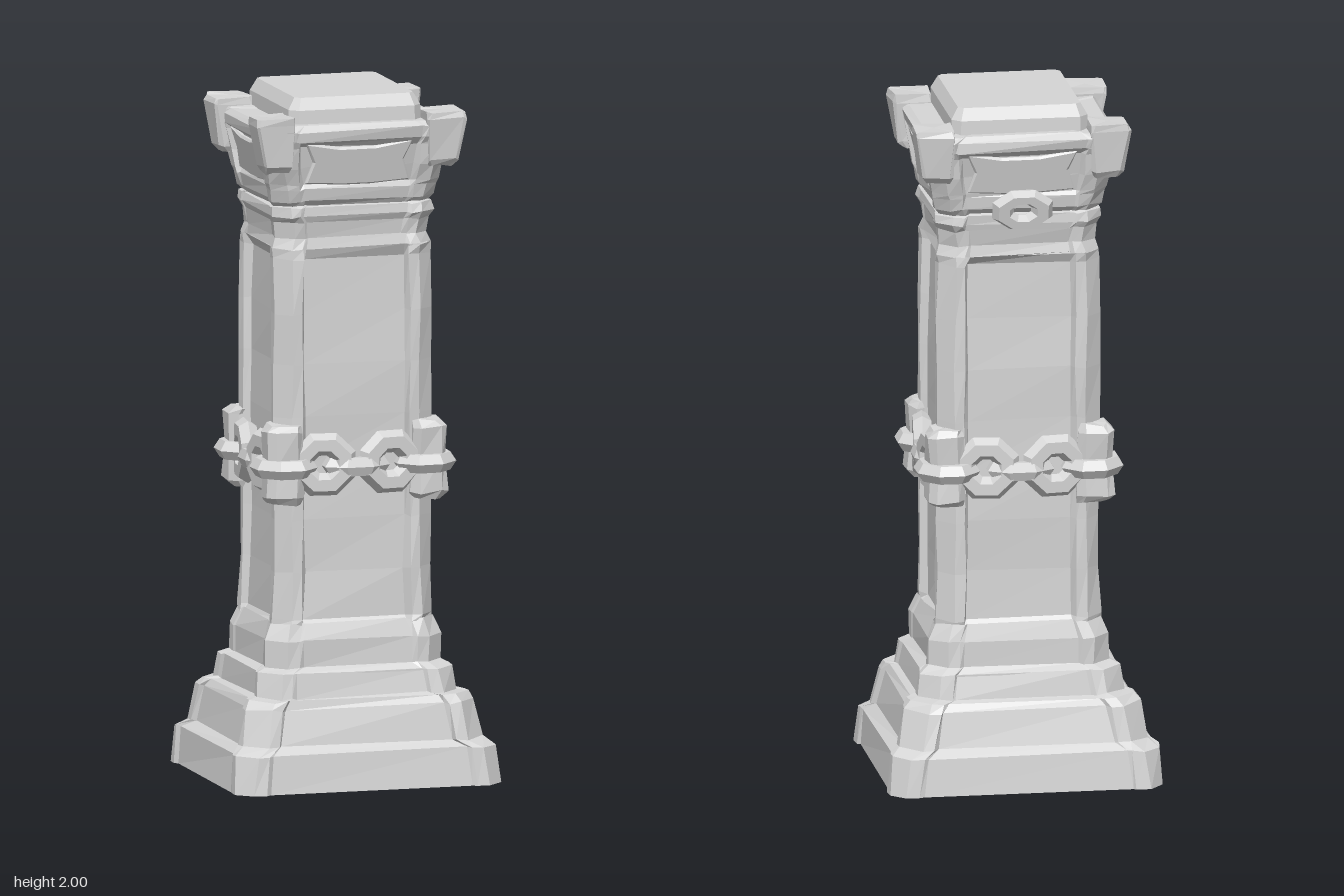
import * as THREE from 'three';

// Small seeded random for the worn, hand-hewn edges
let seed = 7;
const rnd = () => {
  seed = (seed * 16807) % 2147483647;
  return seed / 2147483647 - 0.5;
};

const corners = [[1, 1], [-1, 1], [-1, -1], [1, -1]];

// Plan outline: chamfered corner posts with sides set back between them
function outline([y, hx, hz, chamfer, post, inset]) {
  const ring = [];
  corners.forEach(([sx, sz], k) => {
    const s = 0.012;
    const pts = [
      [hx - inset, hz - post - s], [hx, hz - post], [hx, hz - chamfer],
      [hx - chamfer, hz], [hx - post, hz], [hx - post - s, hz - inset],
    ];
    if (k % 2) pts.reverse();
    pts.forEach(([x, z]) => ring.push([x * sx, y, z * sz]));
  });
  return ring;
}

// Skin rings of points from bottom to top, flat shaded
function loft(rings, { wear = 0, top = false, bottom = false } = {}) {
  const n = rings[0].length, pos = [], idx = [];
  rings.forEach((ring) => ring.forEach(([x, y, z]) => {
    pos.push(x + rnd() * wear, y > 0 ? y + rnd() * wear : 0, z + rnd() * wear);
  }));
  for (let i = 0; i < rings.length - 1; i++) {
    for (let j = 0; j < n; j++) {
      const a = i * n + j, b = i * n + (j + 1) % n;
      idx.push(a, a + n, b, b, a + n, b + n);
    }
  }
  const cap = (row, up) => {
    const c = pos.length / 3, mid = [0, 0, 0];
    rings[row].forEach((p) => p.forEach((v, k) => { mid[k] += v / n; }));
    pos.push(...mid);
    for (let j = 0; j < n; j++) {
      const a = row * n + j, b = row * n + (j + 1) % n;
      idx.push(c, up ? b : a, up ? a : b);
    }
  };
  if (top) cap(rings.length - 1, true);
  if (bottom) cap(0, false);
  const geo = new THREE.BufferGeometry();
  geo.setAttribute('position', new THREE.Float32BufferAttribute(pos, 3));
  geo.setIndex(idx);
  return faceted(geo);
}

function faceted(geo) {
  const flat = geo.toNonIndexed();
  flat.computeVertexNormals();
  return flat;
}

// Chamfered block around a centre: rows of [y, cx, cz, halfX, halfZ, chamfer]
function block(rows, options) {
  return loft(rows.map(([y, cx, cz, hx, hz, c]) => [
    [hx, hz - c], [hx - c, hz], [c - hx, hz], [-hx, hz - c],
    [-hx, c - hz], [c - hx, -hz], [hx - c, -hz], [hx, c - hz],
  ].map(([x, z]) => [cx + x, y, cz + z])), options);
}

export function createModel() {
  const model = new THREE.Group();
  const stone = new THREE.MeshStandardMaterial({ color: 0xd6d6d6, side: THREE.DoubleSide });
  stone.name = 'grey stone';

  const add = (name, geo, parent = model) => {
    const mesh = new THREE.Mesh(geo, stone);
    mesh.name = name;
    parent.add(mesh);
    return mesh;
  };
  const group = (name) => {
    const g = new THREE.Group();
    g.name = name;
    model.add(g);
    return g;
  };

  // Stepped, hollow base
  add('base', loft([
    [0, 0.4, 0.366, 0.045, 0.085, 0.008],
    [0.11, 0.39, 0.356, 0.05, 0.085, 0.01],
    [0.13, 0.362, 0.33, 0.06, 0.095, 0.012],
    [0.235, 0.342, 0.308, 0.06, 0.095, 0.012],
    [0.258, 0.328, 0.295, 0.06, 0.095, 0.01],
    [0.262, 0.3, 0.268, 0.055, 0.09, 0.008],
    [0.33, 0.29, 0.258, 0.055, 0.09, 0.008],
    [0.345, 0.262, 0.23, 0.05, 0.085, 0.006],
    [0.42, 0.262, 0.23, 0.05, 0.085, 0.006],
    [0.47, 0.242, 0.214, 0.045, 0.08, 0.006],
  ].map(outline), { wear: 0.008 }));
  add('baseCeiling', block([
    [0.325, 0, 0, 0.28, 0.25, 0.06],
    [0.33, 0, 0, 0.28, 0.25, 0.06],
  ], { top: true, bottom: true }));

  // Shaft: corner posts with a sunken panel on every side
  const shaftRows = [[0.46, 0.24, 0.213, 0.045, 0.075, 0.006], [0.48, 0.24, 0.213, 0.045, 0.075, 0.022]];
  for (let y = 0.62; y < 1.5; y += 0.15) shaftRows.push([y, 0.236, 0.21, 0.045, 0.075, 0.022]);
  shaftRows.push(
    [1.53, 0.234, 0.208, 0.045, 0.075, 0.022],
    [1.56, 0.235, 0.209, 0.045, 0.075, 0.006],
  );
  add('shaft', loft(shaftRows.map(outline), { wear: 0.008 }));

  // Neck moulding
  add('neck', loft([
    [1.56, 0.235, 0.209, 0.045, 0.075, 0.006],
    [1.59, 0.226, 0.202, 0.045, 0.075, 0.004],
    [1.635, 0.232, 0.207, 0.045, 0.075, 0.004],
    [1.655, 0.243, 0.217, 0.045, 0.075, 0.005],
    [1.68, 0.24, 0.214, 0.045, 0.075, 0.006],
    [1.685, 0.222, 0.198, 0.04, 0.07, 0.006],
  ].map(outline), { wear: 0.007 }));

  // Flared capital with shallow sunken faces
  add('capital', loft([
    [1.68, 0.228, 0.2, 0.04, 0.07, 0.004],
    [1.70, 0.242, 0.214, 0.04, 0.075, 0.004],
    [1.735, 0.25, 0.222, 0.04, 0.08, 0.006],
    [1.75, 0.253, 0.226, 0.04, 0.08, 0.014],
    [1.80, 0.265, 0.24, 0.04, 0.085, 0.018],
    [1.86, 0.275, 0.252, 0.04, 0.09, 0.016],
    [1.88, 0.285, 0.262, 0.04, 0.09, 0.004],
    [1.91, 0.29, 0.266, 0.04, 0.09, 0.004],
    [1.925, 0.27, 0.245, 0.04, 0.09, 0.004],
  ].map(outline), { wear: 0.007, top: true }));

  // Carved plaques filling the sunken faces
  const plaques = group('capitalPlaques');
  const shape = new THREE.Shape([
    [-0.155, 0.06], [-0.06, 0.042], [0.05, 0.042], [0.155, 0.06], [0.13, 0.005],
    [0.15, -0.055], [0.04, -0.062], [-0.04, -0.062], [-0.15, -0.055], [-0.13, 0.005],
  ].map(([x, y]) => new THREE.Vector2(x, y)));
  const plaqueGeo = new THREE.ExtrudeGeometry(shape, {
    depth: 0.006, bevelEnabled: true, bevelThickness: 0.006, bevelSize: 0.006, bevelSegments: 1,
  });
  for (let k = 0; k < 4; k++) {
    const turn = new THREE.Group();
    turn.rotation.y = k * Math.PI / 2;
    plaques.add(turn);
    const plaque = add('plaque', plaqueGeo, turn);
    plaque.scale.x = k % 2 ? 0.85 : 1;
    plaque.position.set(0, 1.812, k % 2 ? 0.248 : 0.223);
    plaque.rotation.x = 0.22;
  }

  // Crowning slab
  add('topSlab', block([
    [1.9, 0, 0, 0.2, 0.218, 0.025],
    [1.965, 0, 0, 0.198, 0.215, 0.025],
    [2.0, 0, 0, 0.178, 0.198, 0.015],
  ], { top: true }));

  // Horns on the capital and brackets under the chain, one per corner
  const horns = group('capitalHorns');
  const brackets = group('cornerBrackets');
  corners.forEach(([sx, sz]) => {
    add('horn', block([
      [1.79, sx * 0.242, sz * 0.208, 0.036, 0.036, 0.008],
      [1.81, sx * 0.247, sz * 0.213, 0.045, 0.045, 0.008],
      [1.93, sx * 0.255, sz * 0.217, 0.058, 0.056, 0.008],
      [1.95, sx * 0.254, sz * 0.216, 0.055, 0.053, 0.008],
    ], { top: true, bottom: true, wear: 0.008 }), horns);
    add('bracket', block([
      [0.82, sx * 0.21, sz * 0.18, 0.045, 0.045, 0.02],
      [0.84, sx * 0.217, sz * 0.187, 0.054, 0.054, 0.022],
      [0.94, sx * 0.215, sz * 0.185, 0.052, 0.052, 0.022],
      [1.03, sx * 0.217, sz * 0.187, 0.054, 0.054, 0.022],
      [1.05, sx * 0.21, sz * 0.18, 0.045, 0.045, 0.02],
    ], { top: true, bottom: true, wear: 0.01 }), brackets);
  });

  // Chain of alternating upright and flat links, chunky with small eyes
  const chain = group('chain');
  const linkGeo = faceted(new THREE.TorusGeometry(0.064, 0.036, 6, 8).rotateZ(Math.PI / 8));
  const link = (x, y, z, turn, flat, sx, sy) => {
    const holder = new THREE.Group();
    holder.position.set(x, y, z);
    holder.rotation.y = turn;
    chain.add(holder);
    const mesh = add('link', linkGeo, holder);
    if (flat) mesh.rotation.x = Math.PI / 2;
    mesh.scale.set(sx, sy, 0.85);
  };
  for (const s of [1, -1]) {
    for (const t of [1, -1]) {
      link(t * 0.1, 0.932, s * 0.212, s * t * 0.12, false, 1.02, 0.98);
      link(s * 0.238, 0.932, t * 0.1, Math.PI / 2 - s * t * 0.12, false, 1.02, 0.98);
      link(s * 0.21, 0.925, t * 0.18, s * t * Math.PI / 4, true, 1.0, 0.95);
    }
    link(0, 0.925, s * 0.2, 0, true, 1.05, 0.6);
    link(s * 0.226, 0.925, 0, Math.PI / 2, true, 0.95, 0.6);
  }

  // Loose ring on the back of the capital
  const ring = add('backRing', linkGeo);
  ring.position.set(0, 1.705, -0.246);
  ring.rotation.x = -0.2;
  ring.scale.set(0.95, 0.65, 0.85);

  return model;
}
